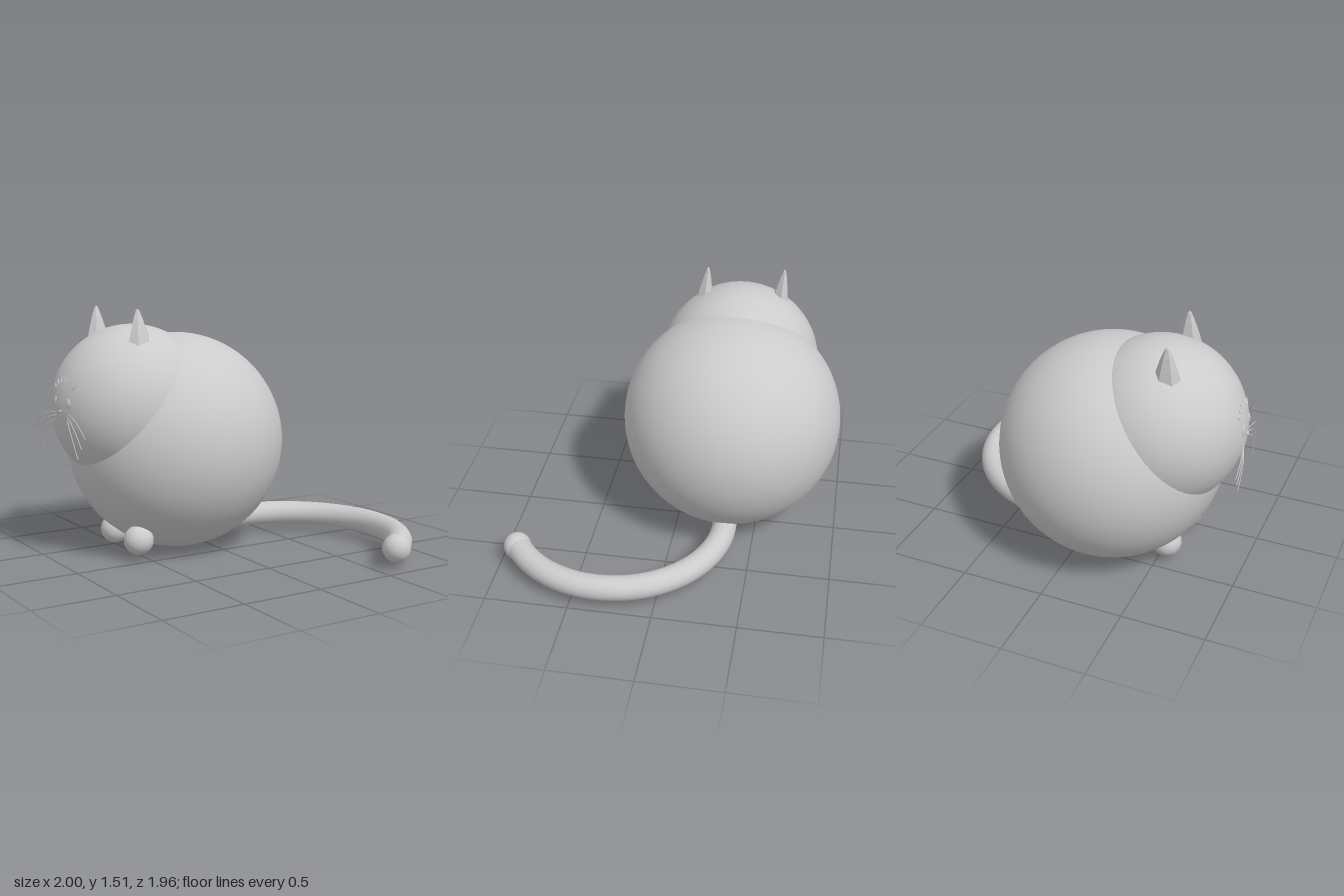
import * as THREE from 'three';

const grey = new THREE.MeshStandardMaterial({ color: 0xcccccc, side: THREE.DoubleSide });
const greyFlat = new THREE.MeshStandardMaterial({ color: 0xcccccc, flatShading: true, side: THREE.DoubleSide });

function add(parent, name, geometry, position = [0, 0, 0], material = grey) {
  const mesh = new THREE.Mesh(geometry, material);
  mesh.name = name;
  mesh.position.set(...position);
  parent.add(mesh);
  return mesh;
}

const ball = (r, seg = 32) => new THREE.SphereGeometry(r, seg, seg);

// Point on the face, slightly above the head sphere (face looks along -x)
const HEAD_R = 0.495;
function onFace(y, z, lift = 0) {
  return [-Math.sqrt(HEAD_R * HEAD_R - y * y - z * z) - lift, y, z];
}

function buildHead() {
  const head = new THREE.Group();
  head.name = 'head';
  head.position.set(-0.465, 0.915, -0.315);
  head.rotation.y = 0.085;
  add(head, 'skull', ball(HEAD_R, 64));

  // Face patch: shallow cap just proud of the skull
  const cap = new THREE.SphereGeometry(HEAD_R + 0.004, 32, 8, 0, Math.PI * 2, 0, 0.35);
  add(head, 'facePatch', cap).rotation.z = Math.PI / 2 - 0.07;

  // Fringe of small spikes above the eyes
  for (let i = -3; i <= 3; i++) {
    const a = i * 0.26;
    const spike = add(head, 'fringeSpike', new THREE.ConeGeometry(0.01, 0.035, 4),
      onFace(0.035 + 0.155 * Math.cos(a), 0.155 * Math.sin(a), 0.004), greyFlat);
    spike.rotation.x = a;
  }

  add(head, 'nose', ball(0.012, 12), onFace(0, 0, 0.005)).scale.set(0.7, 0.8, 1.2);

  // Mirrored features
  const earProfile = [[0.085, 0], [0.06, 0.09], [0.034, 0.17], [0.013, 0.222], [0, 0.235]]
    .map(([x, y]) => new THREE.Vector2(x, y));
  for (const s of [-1, 1]) {
    // Ear: faceted, tapering to a blunt tip
    const ear = add(head, 'ear', new THREE.LatheGeometry(earProfile, 6), [-0.09, 0.365, s * 0.235], greyFlat);
    ear.rotation.set(0, Math.PI / 2, -0.1);
    ear.scale.set(0.72, 1, 1);

    // Eye with pupil
    const eye = add(head, 'eye', ball(0.034, 20), onFace(0.05, s * 0.07));
    eye.scale.set(0.25, 1, 0.8);
    const pupil = add(head, 'pupil', ball(0.018, 12), onFace(0.05, s * 0.07, 0.006));
    pupil.scale.set(0.3, 1.3, 0.5);

    // Whiskers: thin drooping arcs
    for (let i = 0; i < 3; i++) {
      const root = new THREE.Vector3(...onFace(-0.01 - i * 0.02, s * 0.06));
      const mid = new THREE.Vector3(-0.525, 0.0 - i * 0.03, s * (0.2 - i * 0.035));
      const tip = new THREE.Vector3(-0.505, -0.13 - i * 0.065, s * (0.295 - i * 0.045));
      add(head, 'whisker', new THREE.TubeGeometry(
        new THREE.QuadraticBezierCurve3(root, mid, tip), 14, 0.003, 5));
    }
  }
  return head;
}

// Tail: round tube swept along a flat arc, ending in a ball
class TailArc extends THREE.Curve {
  getPoint(t, target = new THREE.Vector3()) {
    const a = THREE.MathUtils.lerp(-1.98, 0.965, t);
    return target.set(0.258 + 0.667 * Math.cos(a), 0.122, 0.34 + 0.667 * Math.sin(a));
  }
}

export function createModel() {
  const cat = new THREE.Group();
  cat.name = 'cat';

  add(cat, 'body', ball(0.673, 64), [-0.165, 0.676, -0.31]);
  cat.add(buildHead());

  add(cat, 'footLeft', ball(0.09), [-0.565, 0.13, -0.06]);
  add(cat, 'footRight', ball(0.09), [-0.55, 0.13, -0.4]);

  add(cat, 'tail', new THREE.TubeGeometry(new TailArc(), 64, 0.075, 24));
  const start = new TailArc().getPoint(0);
  add(cat, 'tailRoot', ball(0.075, 24), start.toArray());
  add(cat, 'tailTip', ball(0.084), [0.638, 0.122, 0.893]);

  return cat;
}
